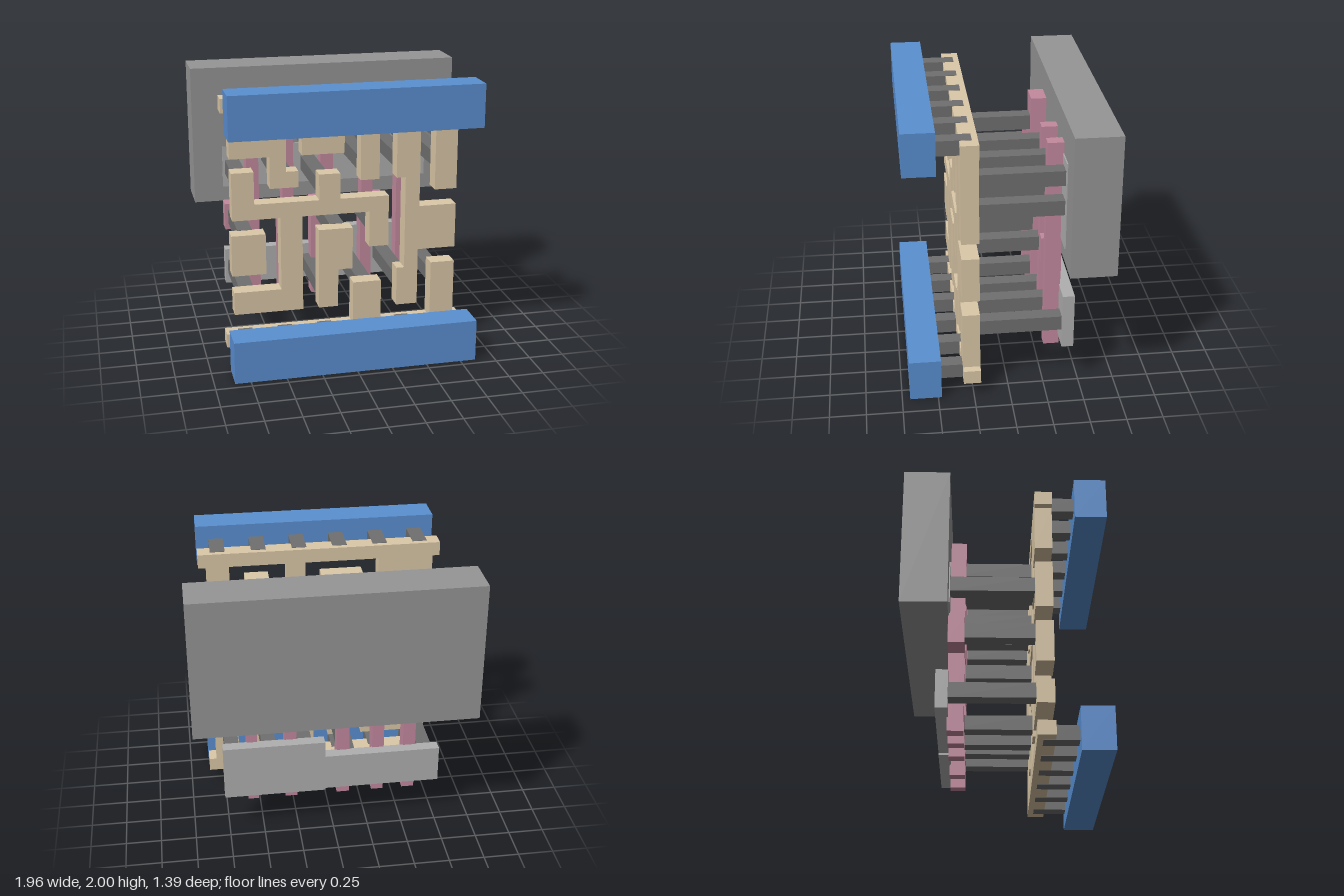
import * as THREE from 'three';

const material = (color) => new THREE.MeshStandardMaterial({ color, flatShading: true });

export function createModel() {
  const model = new THREE.Group();
  model.name = 'layeredCircuitCell';
  const blue = material(0x5a90d2), tan = material(0xdcc9a8), pink = material(0xc48a9f);
  const dark = material(0x707070), wellGrey = material(0x969696), paleGrey = material(0xb0b0b0);

  const layer = (name) => {
    const g = new THREE.Group();
    g.name = name;
    model.add(g);
    return g;
  };
  // Box given by its minimum and maximum along each axis
  const box = (parent, name, mat, x0, x1, y0, y1, z0, z1) => {
    const m = new THREE.Mesh(new THREE.BoxGeometry(x1 - x0, y1 - y0, z1 - z0), mat);
    m.position.set((x0 + x1) / 2, (y0 + y1) / 2, (z0 + z1) / 2);
    m.name = name;
    parent.add(m);
  };
  // Flat plate: an outline of [x, y] corners extruded from z0 to z1
  const plate = (parent, name, mat, corners, z0, z1) => {
    const shape = new THREE.Shape(corners.map(([x, y]) => new THREE.Vector2(x, y)));
    const geo = new THREE.ExtrudeGeometry(shape, { depth: z1 - z0, bevelEnabled: false });
    const m = new THREE.Mesh(geo.translate(0, 0, z0), mat);
    m.name = name;
    parent.add(m);
  };
  const rect = (x0, x1, y0, y1) => [[x0, y0], [x1, y0], [x1, y1], [x0, y1]];

  // Front power rails
  const rails = layer('frontRails');
  box(rails, 'topRail', blue, -0.86, 0.86, 1.7, 2, 0.475, 0.695);
  box(rails, 'bottomRail', blue, -0.86, 0.86, 0, 0.3, 0.475, 0.695);

  // Short pegs joining the rails to the wiring
  const pegs = layer('railPegs');
  for (const y of [0.15, 1.85])
    for (const x of [-0.72, -0.432, -0.144, 0.144, 0.432, 0.72])
      box(pegs, 'railPeg', dark, x - 0.052, x + 0.052, y - 0.052, y + 0.052, 0.24, 0.476);

  // Wiring layer
  const wiring = layer('wiring');
  const wires = {
    upperComb: [
      [-0.86, 1.9], [-0.86, 1.8], [-0.81, 1.8], [-0.81, 1.48], [-0.535, 1.48], [-0.535, 1.255],
      [-0.335, 1.255], [-0.335, 1.37], [-0.42, 1.37], [-0.42, 1.8], [0.105, 1.8], [0.105, 1.275],
      [0.24, 1.275], [0.24, 1.8], [0.645, 1.8], [0.645, 1.17], [0.805, 1.17], [0.805, 1.8],
      [0.86, 1.8], [0.86, 1.9]],
    lowerComb: [
      [-0.86, 0.1], [0.86, 0.1], [0.86, 0.2], [0.805, 0.2], [0.805, 0.62], [0.63, 0.62],
      [0.63, 0.2], [0.26, 0.2], [0.26, 0.515], [0.055, 0.515], [0.055, 0.2], [-0.86, 0.2]],
    branchedWire: [
      [-0.8, 1.38], [-0.8, 1.04], [-0.465, 1.04], [-0.465, 0.51], [-0.8, 0.51], [-0.8, 0.345],
      [-0.31, 0.345], [-0.31, 1.04], [0.17, 1.04], [0.17, 0.78], [0.31, 0.78], [0.31, 1.15],
      [-0.04, 1.15], [-0.04, 1.335], [-0.19, 1.335], [-0.19, 1.15], [-0.645, 1.15], [-0.645, 1.38]],
    outputWire: [
      [0.365, 1.695], [0.365, 1.275], [0.43, 1.275], [0.43, 0.6], [0.375, 0.6], [0.375, 0.315],
      [0.53, 0.315], [0.53, 0.73], [0.805, 0.73], [0.805, 1.055], [0.535, 1.055], [0.535, 1.695]],
    leftPad: rect(-0.81, -0.57, 0.635, 0.93),
    upperPad: rect(-0.31, -0.01, 1.48, 1.69),
    middlePad: [
      [-0.195, 0.93], [-0.195, 0.345], [-0.055, 0.345], [-0.055, 0.625], [0.05, 0.625], [0.05, 0.93]],
  };
  for (const [name, corners] of Object.entries(wires)) plate(wiring, name, tan, corners, 0.2, 0.32);

  // Upright gate strips with contact pads
  const gates = layer('gates');
  const strips = [
    [[-0.61, 1.48], [-0.61, 0.975], [-0.775, 0.975], [-0.775, 0.78], [-0.61, 0.78], [-0.61, 0.22],
      [-0.52, 0.22], [-0.52, 1.48]],
    [[-0.345, 1.785], [-0.345, 0.94], [-0.38, 0.94], [-0.38, 0.22], [-0.295, 0.22], [-0.295, 0.94],
      [-0.26, 0.94], [-0.26, 1.5], [-0.165, 1.5], [-0.165, 1.785]],
    [[-0.055, 1.425], [-0.055, 0.975], [-0.13, 0.975], [-0.13, 0.22], [-0.04, 0.22], [-0.04, 0.78],
      [0.04, 0.78], [0.04, 1.425]],
    [[0.26, 1.785], [0.26, 0.78], [0.25, 0.78], [0.25, 0.22], [0.335, 0.22], [0.335, 0.78],
      [0.425, 0.78], [0.425, 0.975], [0.345, 0.975], [0.345, 1.785]],
    [[0.53, 1.785], [0.53, 0.22], [0.605, 0.22], [0.605, 0.78], [0.615, 0.78], [0.615, 1.785]],
  ];
  for (const corners of strips) plate(gates, 'gate', pink, corners, -0.38, -0.27);

  // Contacts from the wiring back to a strip or a base plate
  const contacts = layer('contacts');
  const contact = (x, y, z) =>
    box(contacts, 'contact', dark, x - 0.052, x + 0.052, y - 0.053, y + 0.053, z, 0.21);
  const toPlates = [
    [-0.7, 1.23], [-0.43, 1.32], [-0.135, 1.23], [0.16, 1.59], [0.16, 1.375], [0.43, 1.59],
    [0.43, 1.375], [0.7, 1.59], [0.7, 1.375], [-0.7, 0.45], [-0.135, 0.45], [0.16, 0.45],
    [0.43, 0.48], [0.7, 0.48]];
  for (const [x, y] of toPlates) contact(x, y, -0.38);
  const toGates = [[-0.7, 0.878], [-0.04, 0.878], [0.265, 0.878], [-0.25, 1.59]];
  for (const [x, y] of toGates) contact(x, y, -0.382);

  // Base plates and the large rear block
  const base = layer('base');
  plate(base, 'upperPlate', paleGrey, [
    [-0.77, 1.385], [-0.77, 1.08], [0.775, 1.08], [0.775, 1.705], [0.09, 1.705], [0.09, 1.345],
    [-0.1, 1.345], [-0.1, 1.385]], -0.455, -0.372);
  plate(base, 'lowerPlate', paleGrey, [
    [-0.77, 0.585], [-0.77, 0.315], [0.055, 0.315], [0.055, 0.3], [0.775, 0.3], [0.775, 0.705],
    [0.055, 0.705], [0.055, 0.585]], -0.455, -0.372);
  box(base, 'rearBlock', wellGrey, -0.98, 0.98, 0.97, 1.97, -0.695, -0.38);

  return model;
}
